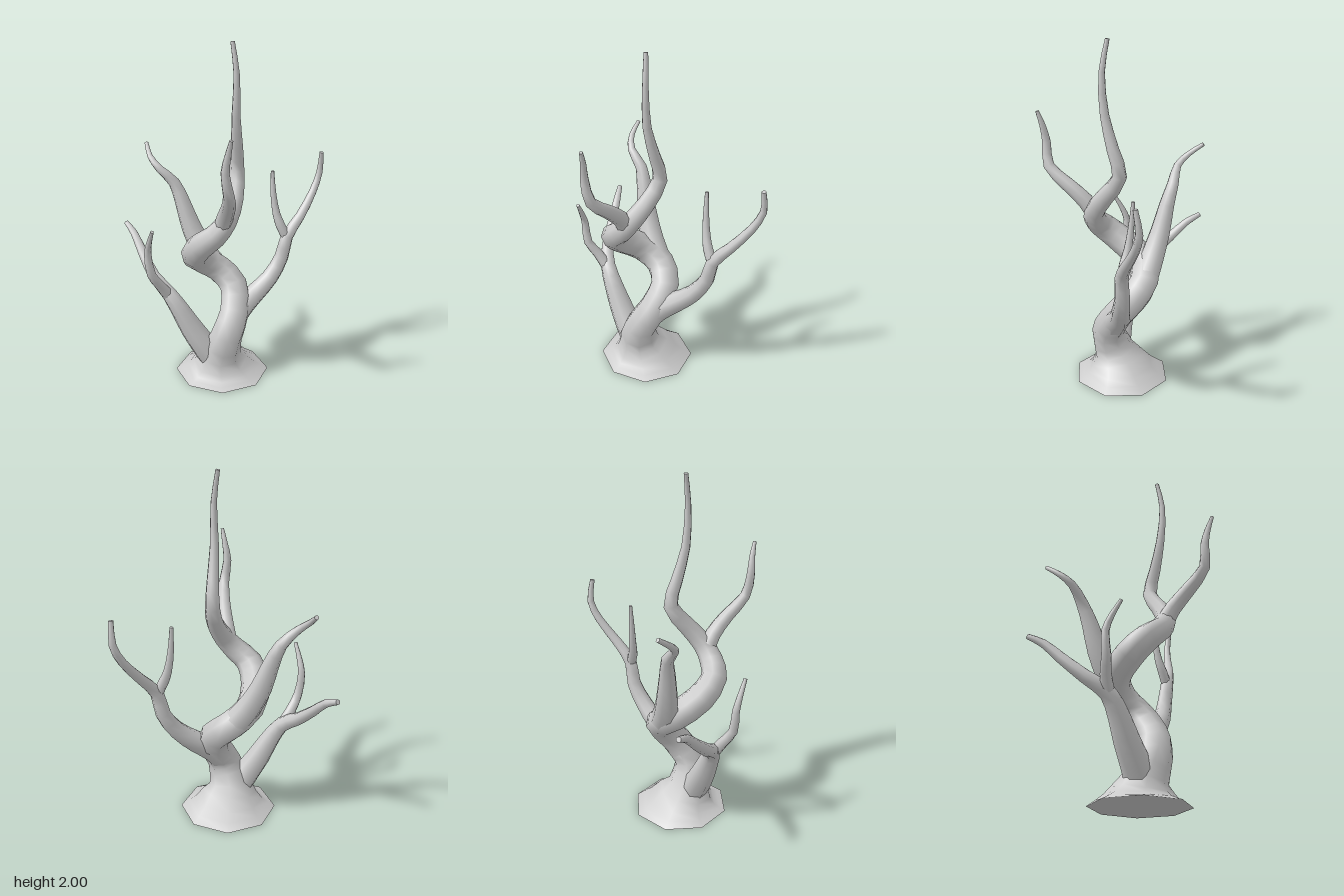
import * as THREE from 'three';

const SIDES = 8;
const UP = new THREE.Vector3(0, 1, 0);

// Tapered limb swept through nodes [x, y, z, radius], capped at both ends
function limb(nodes, steps = 2) {
  const curve = new THREE.CatmullRomCurve3(nodes.map(([x, y, z]) => new THREE.Vector3(x, y, z)), false, 'centripetal');
  const rings = (nodes.length - 1) * steps;
  const pos = [], index = [];
  const normal = new THREE.Vector3(0, 0, -1), side = new THREE.Vector3(), v = new THREE.Vector3();

  for (let i = 0; i <= rings; i++) {
    const t = i / rings;
    const centre = curve.getPoint(t);
    // Rings lie level near the ground
    const tangent = curve.getTangent(t).lerp(UP, THREE.MathUtils.clamp(1 - centre.y / 0.15, 0, 1)).normalize();
    normal.addScaledVector(tangent, -normal.dot(tangent)).normalize();
    side.crossVectors(tangent, normal);
    const a = Math.min(Math.floor(i / steps), nodes.length - 2);
    const radius = THREE.MathUtils.lerp(nodes[a][3], nodes[a + 1][3], i / steps - a);
    for (let j = 0; j < SIDES; j++) {
      const ang = (j / SIDES) * Math.PI * 2;
      v.copy(centre).addScaledVector(normal, Math.cos(ang) * radius).addScaledVector(side, Math.sin(ang) * radius);
      pos.push(v.x, v.y, v.z);
    }
  }
  for (let i = 0; i < rings; i++) {
    for (let j = 0; j < SIDES; j++) {
      const k = (j + 1) % SIDES;
      const a = i * SIDES + j, b = i * SIDES + k, c = a + SIDES, d = b + SIDES;
      index.push(a, b, c, b, d, c);
    }
  }
  // End caps use their own vertices so the rims stay sharp
  for (const [ring, flip] of [[0, true], [rings, false]]) {
    const first = pos.length / 3;
    pos.push(...pos.slice(ring * SIDES * 3, (ring + 1) * SIDES * 3));
    for (let j = 1; j < SIDES - 1; j++) {
      if (flip) index.push(first, first + j + 1, first + j);
      else index.push(first, first + j, first + j + 1);
    }
  }
  const geo = new THREE.BufferGeometry();
  geo.setAttribute('position', new THREE.Float32BufferAttribute(pos, 3));
  geo.setIndex(index);
  geo.computeVertexNormals();
  return geo;
}

const LIMBS = {
  // Flared root, spiralling trunk and the tall leader
  trunk: [
    [-0.01, 0, -0.08, 0.28], [-0.015, 0.05, -0.065, 0.2], [-0.02, 0.14, -0.03, 0.122],
    [0.015, 0.27, 0, 0.097], [0.065, 0.4, -0.06, 0.09], [0.06, 0.53, -0.16, 0.088],
    [-0.03, 0.62, -0.205, 0.085], [-0.13, 0.7, -0.16, 0.085], [-0.165, 0.79, -0.03, 0.083],
    [-0.13, 0.88, 0.075, 0.075], [-0.05, 0.95, 0.1, 0.066], [0.015, 1.03, 0.08, 0.058],
    [0.06, 1.14, 0, 0.05], [0.075, 1.27, -0.09, 0.042], [0.073, 1.42, -0.05, 0.034],
    [0.065, 1.6, 0, 0.025], [0.067, 1.83, 0.015, 0.017], [0.045, 2, -0.008, 0.012],
  ],
  frontBranch: [
    [-0.01, 1, 0.09, 0.05], [0.005, 1.08, 0.14, 0.046], [0.02, 1.17, 0.24, 0.04],
    [0.02, 1.27, 0.355, 0.031], [0, 1.4, 0.375, 0.024], [0.015, 1.5, 0.39, 0.017], [0.03, 1.58, 0.413, 0.01],
  ],
  leftBranch: [
    [0.02, 0.3, -0.02, 0.08], [0.09, 0.4, -0.08, 0.075], [0.18, 0.475, -0.135, 0.062],
    [0.28, 0.57, -0.175, 0.051], [0.35, 0.69, -0.21, 0.043], [0.38, 0.82, -0.215, 0.038],
    [0.46, 0.93, -0.265, 0.03], [0.54, 1.06, -0.34, 0.024], [0.58, 1.17, -0.375, 0.02], [0.585, 1.3, -0.355, 0.013],
  ],
  leftTwig: [
    [0.385, 0.8, -0.215, 0.03], [0.34, 0.89, -0.215, 0.028], [0.315, 0.96, -0.225, 0.023],
    [0.295, 1.08, -0.235, 0.017], [0.287, 1.22, -0.242, 0.01],
  ],
  rightBranch: [
    [-0.05, 0.1, -0.03, 0.09], [-0.12, 0.2, -0.02, 0.08], [-0.19, 0.31, -0.02, 0.07], [-0.25, 0.42, -0.02, 0.058],
    [-0.32, 0.53, -0.035, 0.046], [-0.41, 0.61, -0.11, 0.037], [-0.485, 0.72, -0.22, 0.03],
    [-0.54, 0.81, -0.305, 0.023], [-0.592, 0.853, -0.375, 0.015],
  ],
  rightTwig: [
    [-0.32, 0.52, -0.03, 0.036], [-0.375, 0.61, 0, 0.031], [-0.415, 0.69, 0.04, 0.026],
    [-0.432, 0.82, 0.045, 0.021], [-0.42, 0.9, 0.075, 0.016], [-0.397, 0.985, 0.12, 0.01],
  ],
  backBranch: [
    [-0.03, 0.61, -0.2, 0.08], [-0.12, 0.73, -0.22, 0.072], [-0.19, 0.87, -0.245, 0.06],
    [-0.24, 1.02, -0.265, 0.046], [-0.29, 1.14, -0.285, 0.034], [-0.375, 1.225, -0.285, 0.023],
    [-0.43, 1.285, -0.335, 0.017], [-0.455, 1.345, -0.415, 0.012],
  ],
};

export function createModel() {
  const group = new THREE.Group();
  group.name = 'bareTree';
  const bark = new THREE.MeshStandardMaterial({ color: 0xcccccc });
  for (const [name, nodes] of Object.entries(LIMBS)) {
    const mesh = new THREE.Mesh(limb(nodes), bark);
    mesh.name = name;
    group.add(mesh);
  }
  return group;
}
